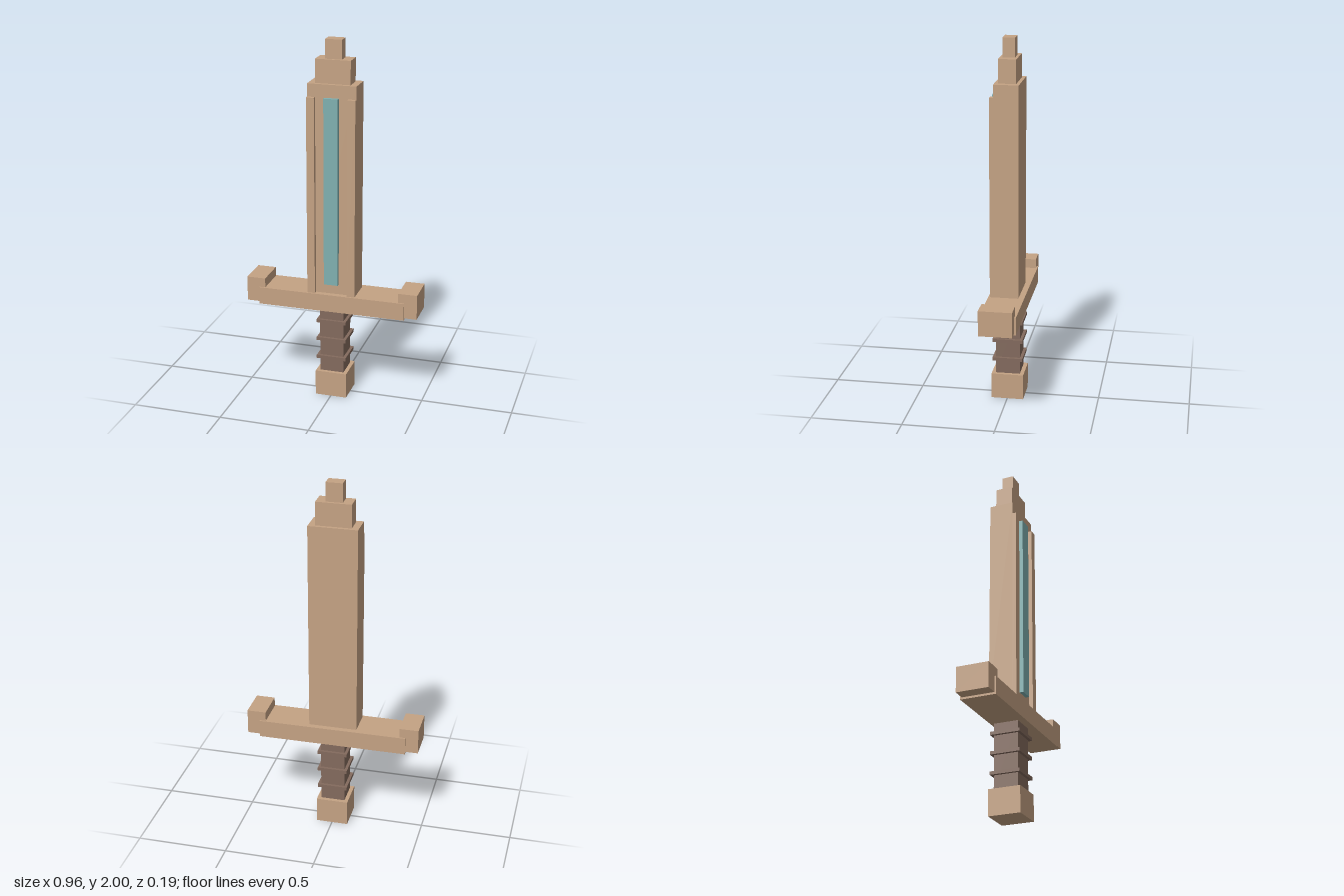
import * as THREE from 'three';

const wood = new THREE.MeshStandardMaterial({ color: 0xc4a283 });
wood.name = 'tan';
const wrap = new THREE.MeshStandardMaterial({ color: 0x836a5d });
wrap.name = 'brown';
const inlay = new THREE.MeshStandardMaterial({ color: 0x7fb0b0 });
inlay.name = 'teal';

export function createModel() {
  const sword = new THREE.Group();
  sword.name = 'sword';

  // Box given by its extents on each axis
  const block = (name, material, [x0, x1], [y0, y1], [z0, z1]) => {
    const mesh = new THREE.Mesh(new THREE.BoxGeometry(x1 - x0, y1 - y0, z1 - z0), material);
    mesh.position.set((x0 + x1) / 2, (y0 + y1) / 2, (z0 + z1) / 2);
    mesh.name = name;
    sword.add(mesh);
  };

  // Handle: pommel, grip and three raised rings
  block('pommel', wood, [-0.088, 0.088], [0, 0.143], [-0.089, 0.088]);
  block('grip', wrap, [-0.067, 0.067], [0.143, 0.502], [-0.067, 0.067]);
  [0.229, 0.338, 0.445].forEach((y, i) =>
    block(`gripRing${i + 1}`, wrap, [-0.083, 0.083], [y - 0.009, y + 0.009], [-0.083, 0.083]));

  // Crossguard
  block('crossguard', wood, [-0.41, 0.41], [0.513, 0.61], [-0.099, 0.096]);

  // Blade with stepped tip
  block('blade', wood, [-0.133, 0.133], [0.61, 1.77], [-0.068, 0.066]);
  block('bladeStep', wood, [-0.096, 0.096], [1.77, 1.897], [-0.049, 0.046]);
  block('bladeTip', wood, [-0.045, 0.045], [1.897, 2], [-0.034, 0.031]);

  // Teal strip on the front of the blade
  block('bladeInlay', inlay, [-0.039, 0.039], [0.667, 1.7], [0.066, 0.087]);

  // Mirrored guard ends and front blade rails
  for (const [side, s] of [['left', 1], ['right', -1]]) {
    const span = (a, b) => (s > 0 ? [a, b] : [-b, -a]);
    block(`${side}GuardEnd`, wood, span(0.376, 0.48), [0.524, 0.662], [-0.09, 0.088]);
    block(`${side}BladeRail`, wood, span(0.09, 0.133), [0.61, 1.7], [0.066, 0.087]);
  }
  return sword;
}
